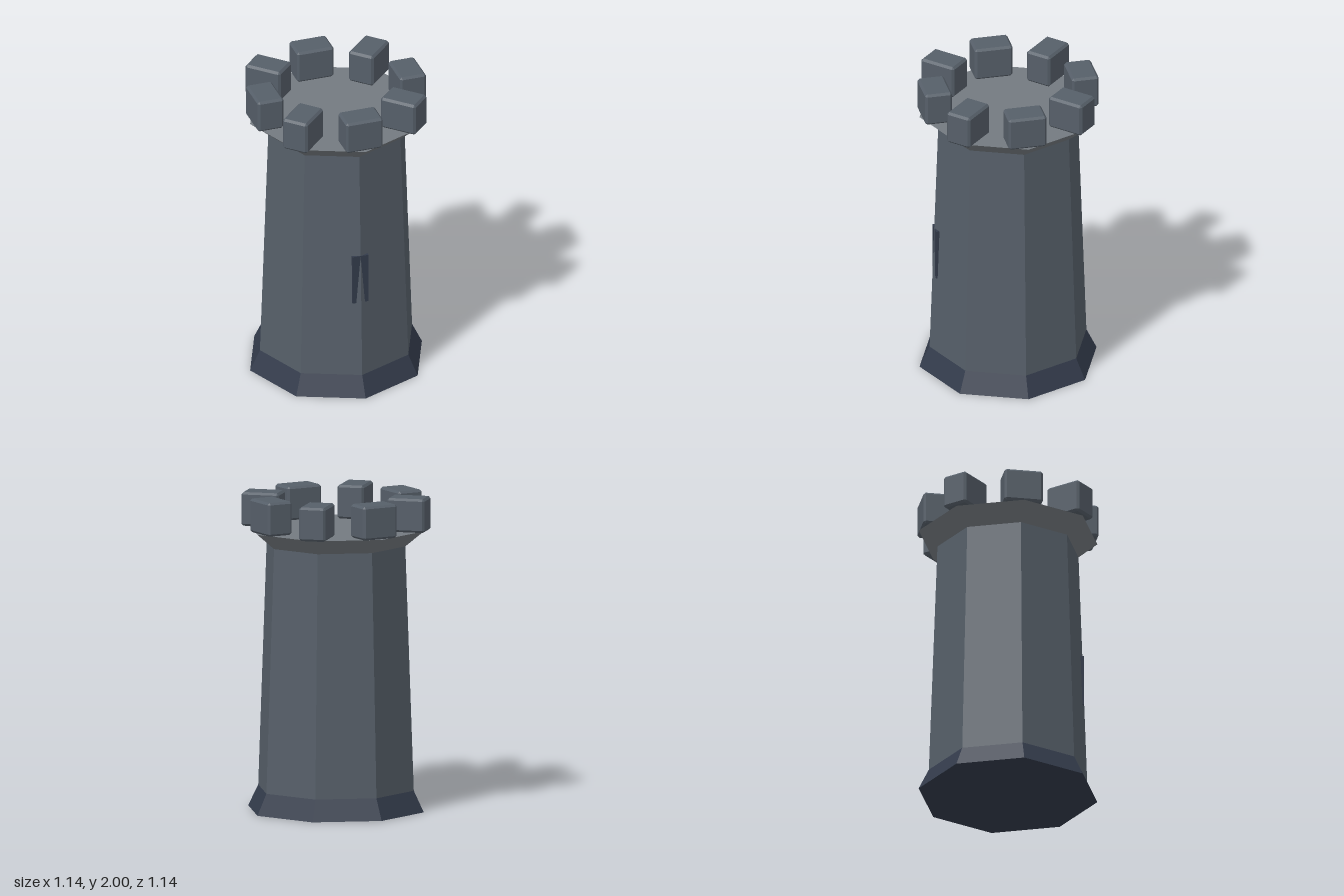
import * as THREE from 'three';
import { ConvexGeometry } from 'three/addons/geometries/ConvexGeometry.js';

const material = (color) => new THREE.MeshStandardMaterial({ color, flatShading: true });

// Box with every edge chamfered by c
function chamferedBox(w, h, d, c) {
  const points = [];
  for (const x of [-1, 1]) for (const y of [-1, 1]) for (const z of [-1, 1]) {
    for (let flush = 0; flush < 3; flush++) {
      const inset = [c, c, c];
      inset[flush] = 0;
      points.push(new THREE.Vector3(
        x * (w / 2 - inset[0]), y * (h / 2 - inset[1]), z * (d / 2 - inset[2])));
    }
  }
  return new ConvexGeometry(points);
}

export function createModel() {
  const tower = new THREE.Group();
  tower.name = 'tower';
  const stone = material(0x565f69);
  const paleStone = material(0x747a80);
  const darkStone = material(0x333b4b);

  const add = (name, geometry, mat, x, y, z, parent = tower) => {
    const mesh = new THREE.Mesh(geometry, mat);
    mesh.name = name;
    mesh.position.set(x, y, z);
    parent.add(mesh);
    return mesh;
  };

  // Eight-sided stage between two heights, corners on the axes
  const stage = (name, y0, r0, y1, r1, mat, open = false) =>
    add(name, new THREE.CylinderGeometry(r1, r0, y1 - y0, 8, 1, open), mat, 0, (y0 + y1) / 2, 0);

  stage('base', 0, 0.57, 0.135, 0.505, darkStone);
  stage('wall', 0.135, 0.505, 1.685, 0.45, stone, true);
  stage('parapet', 1.685, 0.45, 1.785, 0.57, paleStone);

  // Arrow slit, with the front corner of the wall poking through it
  add('arrowSlit', new THREE.BoxGeometry(0.105, 0.335, 0.1), darkStone, 0, 0.8125, 0.425);

  // Merlons: broadside on the axes, end-on at the diagonals
  const merlons = new THREE.Group();
  merlons.name = 'merlons';
  tower.add(merlons);
  const block = chamferedBox(0.245, 0.214, 0.173, 0.014);
  for (let i = 0; i < 8; i++) {
    const angle = (i * Math.PI) / 4;
    const merlon = add('merlon', block, stone,
      0.4725 * Math.sin(angle), 1.893, 0.4725 * Math.cos(angle), merlons);
    merlon.rotation.y = angle + (i % 2) * Math.PI / 2;
  }
  return tower;
}
